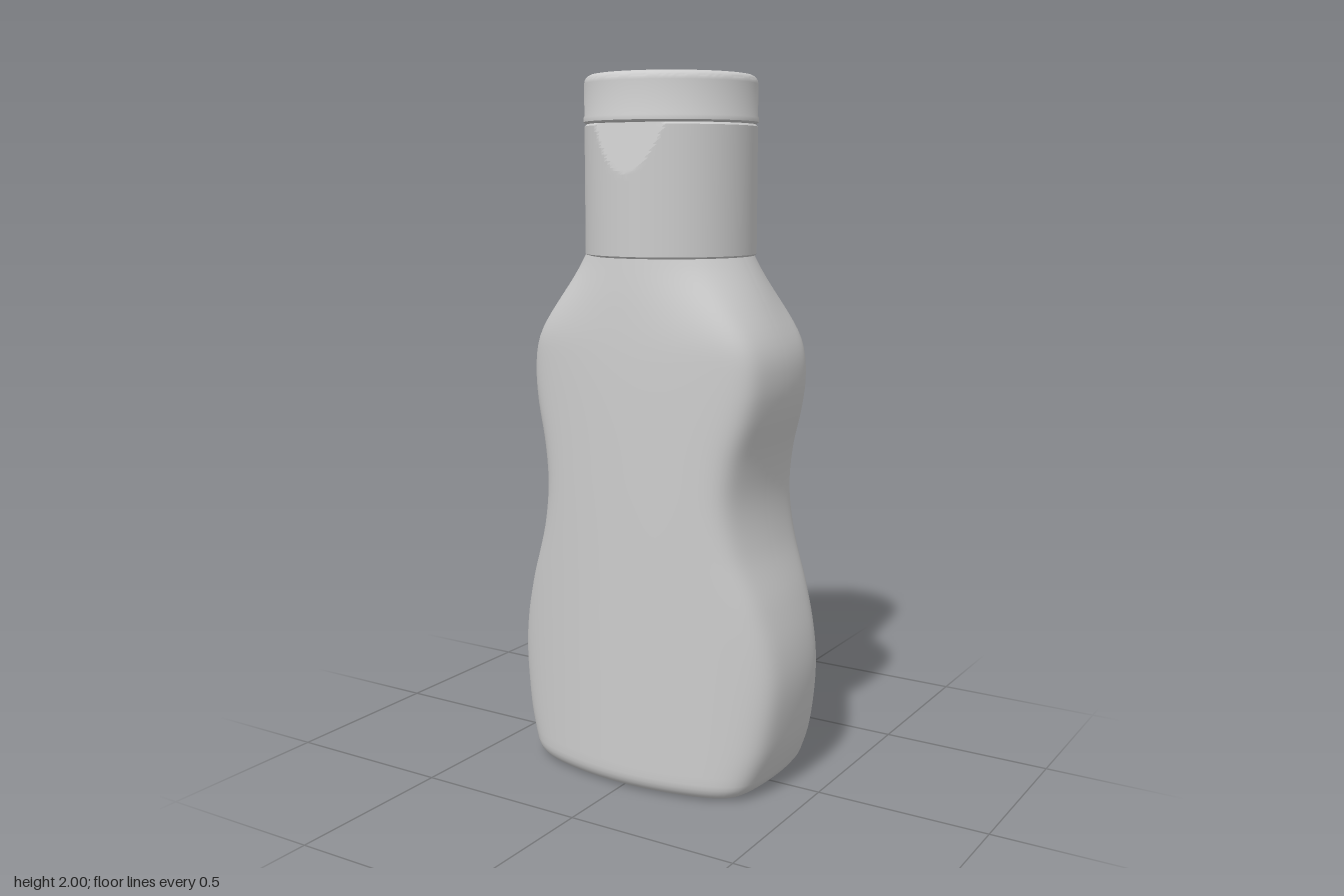
import * as THREE from 'three';
import { toCreasedNormals } from 'three/addons/utils/BufferGeometryUtils.js';

const N = 128;
const material = new THREE.MeshStandardMaterial({ color: 0xcccccc });

// Skin closed rings of N points, listed from the underside up the outside
function loft(rings, crease) {
  const index = [];
  for (let i = 0; i < rings.length - 1; i++) {
    for (let j = 0; j < N; j++) {
      const a = i * N + j, b = i * N + (j + 1) % N;
      index.push(a, a + N, b, b, a + N, b + N);
    }
  }
  const geometry = new THREE.BufferGeometry().setFromPoints(rings.flat());
  geometry.setIndex(index);
  geometry.computeVertexNormals();
  return crease ? toCreasedNormals(geometry, crease) : geometry;
}

// Ring from a function of the angle
const ring = (at) => Array.from({ length: N }, (_, j) => at((j / N) * Math.PI * 2));
const ellipse = (a, b, y) => ring((t) => new THREE.Vector3(a * Math.cos(t), y, b * Math.sin(t)));

// Interpolate smoothly through [y, value] pairs
function profile(pairs) {
  const points = new THREE.SplineCurve(pairs.map((p) => new THREE.Vector2(...p))).getPoints(300);
  return (y) => {
    const i = Math.max(1, points.findIndex((p) => p.x >= y));
    const a = points[i - 1], b = points[i];
    return THREE.MathUtils.mapLinear(y, a.x, b.x, a.y, b.y);
  };
}
const halfWidth = profile([[0, 0.362], [0.05, 0.382], [0.15, 0.415], [0.3, 0.435], [0.42, 0.428], [0.55, 0.396],
  [0.7, 0.345], [0.83, 0.324], [0.95, 0.334], [1.08, 0.367], [1.17, 0.379], [1.26, 0.367], [1.38, 0.31], [1.52, 0.232]]);
const halfDepth = profile([[0, 0.275], [0.5, 0.271], [0.9, 0.267], [1.2, 0.261], [1.38, 0.25], [1.52, 0.234]]);

// Four bowed sides with soft corners, turning round towards the neck
function section(w, d, y, notch = 0) {
  const round = THREE.MathUtils.smoothstep(y, 1.25, 1.52);
  return ring((t) => {
    const x = w * Math.cos(t), z = d * Math.sin(t);
    let lo = 0, hi = 2;
    for (let k = 0; k < 30; k++) {
      const s = (lo + hi) / 2;
      const side = (Math.abs(s * x) + 0.6 * (s * z) ** 2) / w;
      const face = (Math.abs(s * z) + 0.6 * (s * x) ** 2) / d;
      if (side ** 14 + face ** 14 < 1) lo = s; else hi = s;
    }
    const s = THREE.MathUtils.lerp(lo, 1, round);
    // small mould notch across the foot at both ends
    const lift = notch * Math.max(0, 1 - Math.abs(s * z) / 0.03);
    return new THREE.Vector3(s * x, y + lift, s * z - 0.005 * y);
  });
}

function bodyGeometry() {
  const rings = [
    section(0, 0, 0.03),
    section(0.28, 0.165, 0.03),
    section(0.295, 0.18, 0.008, 0.015),
    section(0.315, 0.205, 0.004, 0.015),
  ];
  // rounded bottom edge
  for (let k = 0; k <= 6; k++) {
    const a = (k / 6) * Math.PI / 2;
    const y = 0.004 + 0.05 * (1 - Math.cos(a)), inset = 0.045 * (1 - Math.sin(a));
    rings.push(section(halfWidth(y) - inset, halfDepth(y) - inset, y, k < 2 ? 0.012 : 0));
  }
  // waisted sides up to the neck
  for (let k = 1; k <= 60; k++) {
    const y = THREE.MathUtils.lerp(0.054, 1.515, k / 60);
    rings.push(section(halfWidth(y), halfDepth(y), y));
  }
  return loft(rings, 0.7);
}

function collarGeometry() {
  const rings = [ellipse(0, 0, 1.505), ellipse(0.237, 0.237, 1.505), ellipse(0.242, 0.242, 1.51)];
  for (let k = 1; k <= 40; k++) rings.push(ellipse(0.242, 0.242, 1.51 + 0.35 * k / 40));
  rings.push(ellipse(0.236, 0.236, 1.866), ellipse(0, 0, 1.866));
  // slanted thumb cut in the front
  for (const p of rings.flat()) {
    if (p.y > 1.73) p.z = Math.min(p.z, 0.242 - 0.027 * (p.y - 1.73) / 0.13);
  }
  return loft(rings, 0.15);
}

function lidGeometry() {
  const rings = [[0, 1.868], [0.238, 1.868], [0.244, 1.872], [0.244, 1.884], [0.242, 1.888], [0.242, 1.975]]
    .map(([r, y]) => ellipse(r, r, y));
  for (let k = 1; k <= 5; k++) {
    const a = (k / 5) * Math.PI / 2;
    const r = 0.217 + 0.025 * Math.cos(a);
    rings.push(ellipse(r, r, 1.975 + 0.025 * Math.sin(a)));
  }
  // long oval dimple in the top
  rings.push(ellipse(0.19, 0.066, 2), ellipse(0.186, 0.062, 1.997), ellipse(0.178, 0.054, 1.985), ellipse(0, 0, 1.985));
  return loft(rings, 0.5);
}

// Tapered hinge tab, drawn in plan and given a small height
function hingeGeometry() {
  const plan = new THREE.Shape([[-0.08, 0.22], [0.08, 0.22], [0.066, 0.255], [-0.066, 0.255]]
    .map((p) => new THREE.Vector2(...p)));
  return new THREE.ExtrudeGeometry(plan, {
    depth: 0.016, bevelThickness: 0.005, bevelSize: 0.004, bevelSegments: 3,
  }).rotateX(-Math.PI / 2).translate(0, 1.858, 0);
}

export function createModel() {
  const model = new THREE.Group();
  model.name = 'squeezeBottle';
  const add = (parent, name, geometry) => {
    const mesh = new THREE.Mesh(geometry, material);
    mesh.name = name;
    parent.add(mesh);
    return mesh;
  };
  add(model, 'body', bodyGeometry());

  const cap = new THREE.Group();
  cap.name = 'flipCap';
  cap.position.set(0.005, 0, -0.006);
  add(cap, 'collar', collarGeometry());
  add(cap, 'lid', lidGeometry());
  add(cap, 'hingeTab', hingeGeometry());
  const pin = add(cap, 'hingePin', new THREE.CylinderGeometry(0.013, 0.013, 0.13, 16));
  pin.rotation.z = Math.PI / 2;
  pin.position.set(0, 1.866, -0.247);
  model.add(cap);
  return model;
}
